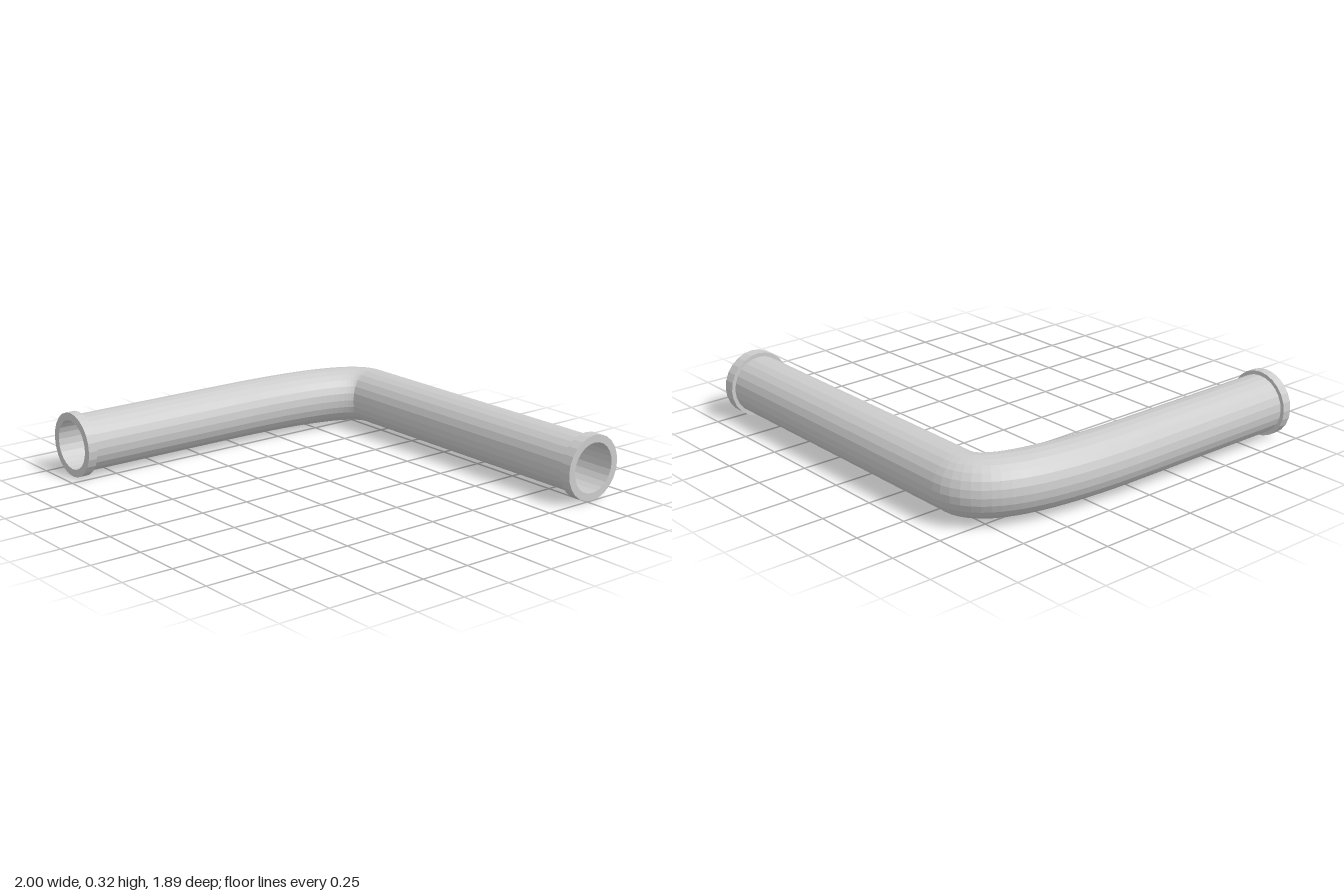
import * as THREE from 'three';

const SIDES = 24;
const OUTER = 0.143, BORE = 0.124, FLANGE = 0.162;
const Y = FLANGE, LEG_X = -0.838, LEG_Z = -0.782;

const material = new THREE.MeshStandardMaterial({ color: 0xcccccc, flatShading: true });

// Centre line: straight front leg, tightening bend, straight side leg
function stations() {
  const v = (x, z) => new THREE.Vector3(x, Y, z);
  const bend = new THREE.QuadraticBezierCurve3(v(LEG_X, 0.03), v(LEG_X, LEG_Z), v(-0.605, LEG_Z));
  const list = [{ p: v(LEG_X, 0.9), t: new THREE.Vector3(0, 0, -1) }];
  const steps = 20;
  for (let i = 0; i <= steps; i++) {
    list.push({ p: bend.getPoint(i / steps), t: bend.getTangent(i / steps) });
  }
  list.push({ p: v(0.945, LEG_Z), t: new THREE.Vector3(1, 0, 0) });
  return list;
}

// Sweeps a round section along the centre line; inward flips it for the bore
function sweep(name, radius, inward) {
  const up = new THREE.Vector3(0, 1, 0);
  const pos = [], index = [];
  const rings = stations();
  rings.forEach(({ p, t }, i) => {
    const side = new THREE.Vector3().crossVectors(up, t);
    for (let j = 0; j < SIDES; j++) {
      const a = (j / SIDES) * Math.PI * 2;
      const q = p.clone().addScaledVector(side, radius * Math.cos(a)).addScaledVector(up, radius * Math.sin(a));
      pos.push(q.x, q.y, q.z);
      if (i === rings.length - 1) continue;
      const k = (j + 1) % SIDES;
      const A = i * SIDES + j, B = i * SIDES + k, C = A + SIDES, D = B + SIDES;
      if (inward) index.push(A, C, B, B, C, D);
      else index.push(A, B, C, B, D, C);
    }
  });
  const g = new THREE.BufferGeometry();
  g.setAttribute('position', new THREE.Float32BufferAttribute(pos, 3));
  g.setIndex(index);
  g.computeVertexNormals();
  const mesh = new THREE.Mesh(g, material);
  mesh.name = name;
  return mesh;
}

// Collar ring with a rectangular section, standing on its own y axis
function flange(name, thickness) {
  const profile = [
    [BORE, 0], [FLANGE, 0], [FLANGE, thickness], [BORE, thickness], [BORE, 0],
  ].map(([r, y]) => new THREE.Vector2(r, y));
  const mesh = new THREE.Mesh(new THREE.LatheGeometry(profile, SIDES), material);
  mesh.name = name;
  return mesh;
}

export function createModel() {
  const group = new THREE.Group();
  group.name = 'elbowPipe';

  group.add(sweep('pipeOuterWall', OUTER, false), sweep('pipeBore', BORE, true));

  // End collars
  const front = flange('frontFlange', 0.047);
  front.rotation.x = Math.PI / 2;
  front.position.set(LEG_X, Y, 0.896);
  const side = flange('sideFlange', 0.058);
  side.rotation.z = -Math.PI / 2;
  side.position.set(0.942, Y, LEG_Z);
  group.add(front, side);

  return group;
}
